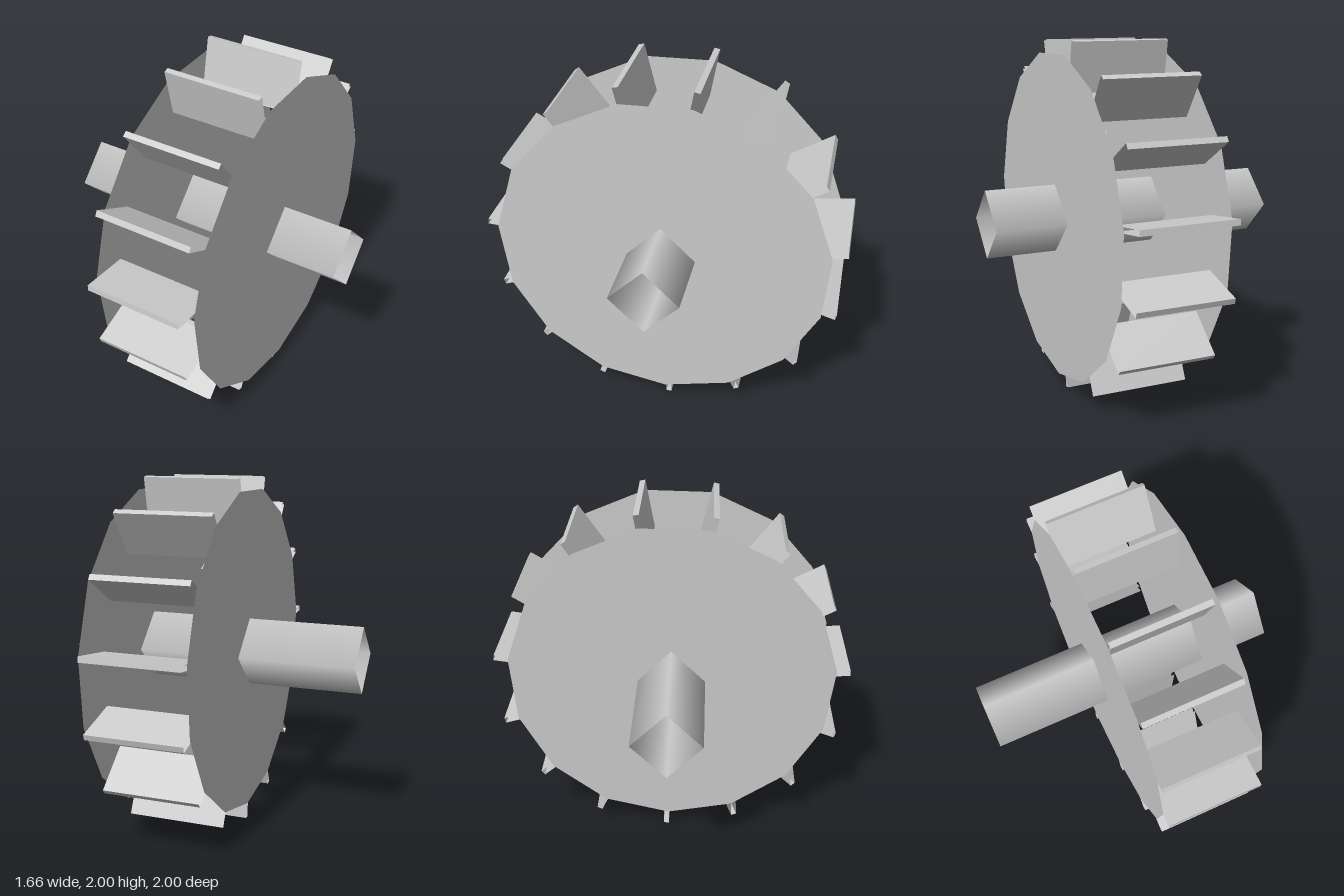
import * as THREE from 'three';

const SIDES = 15;
const STEP = (Math.PI * 2) / SIDES;
const DISC_START = THREE.MathUtils.degToRad(4.8);
const PADDLE_START = THREE.MathUtils.degToRad(4.35);
const LEFT_DISC_X = 0.427, RIGHT_DISC_X = -0.17;
const PADDLE_LEFT_X = 0.384, PADDLE_RIGHT_X = -0.17;
const DISC_R = 0.927, TIP_R = 1.005, ROOT_R = 0.724, THICK = 0.032;

export function createModel() {
  const wheel = new THREE.Group();
  wheel.name = 'paddleWheel';

  const smooth = new THREE.MeshStandardMaterial({ color: 0xcccccc, side: THREE.DoubleSide });
  const flat = new THREE.MeshStandardMaterial({ color: 0xcccccc, side: THREE.DoubleSide, flatShading: true });

  const add = (name, geometry, material, x, y, z) => {
    const mesh = new THREE.Mesh(geometry, material);
    mesh.name = name;
    mesh.position.set(x, y, z);
    wheel.add(mesh);
    return mesh;
  };

  // Open four-sided axle, smooth shaded, with a corner pointing up
  add('axle', new THREE.CylinderGeometry(0.19, 0.19, 1.66, 4, 1, true).rotateZ(Math.PI / 2), smooth, 0, 1.009, 0);

  // Two paper-thin side discs; the left one stands clear of the paddle ends
  const disc = new THREE.CircleGeometry(DISC_R, SIDES, DISC_START).rotateY(-Math.PI / 2);
  add('leftDisc', disc, flat, LEFT_DISC_X, 1.012, 0);
  add('rightDisc', disc, flat, RIGHT_DISC_X, 1.012, 0);

  // Radial paddles: two broad faces and the outer edge, open at the sides and root
  const paddle = new THREE.BoxGeometry(PADDLE_LEFT_X - PADDLE_RIGHT_X, THICK, TIP_R - ROOT_R);
  paddle.setIndex(Array.from(paddle.index.array).slice(12, 30));
  paddle.clearGroups();
  paddle.translate((PADDLE_LEFT_X + PADDLE_RIGHT_X) / 2, 0, (TIP_R + ROOT_R) / 2);
  for (let i = 0; i < SIDES; i++) {
    add('paddle' + (i + 1), paddle, flat, 0, 1.006, -0.003).rotation.x = -(PADDLE_START + i * STEP);
  }

  return wheel;
}
